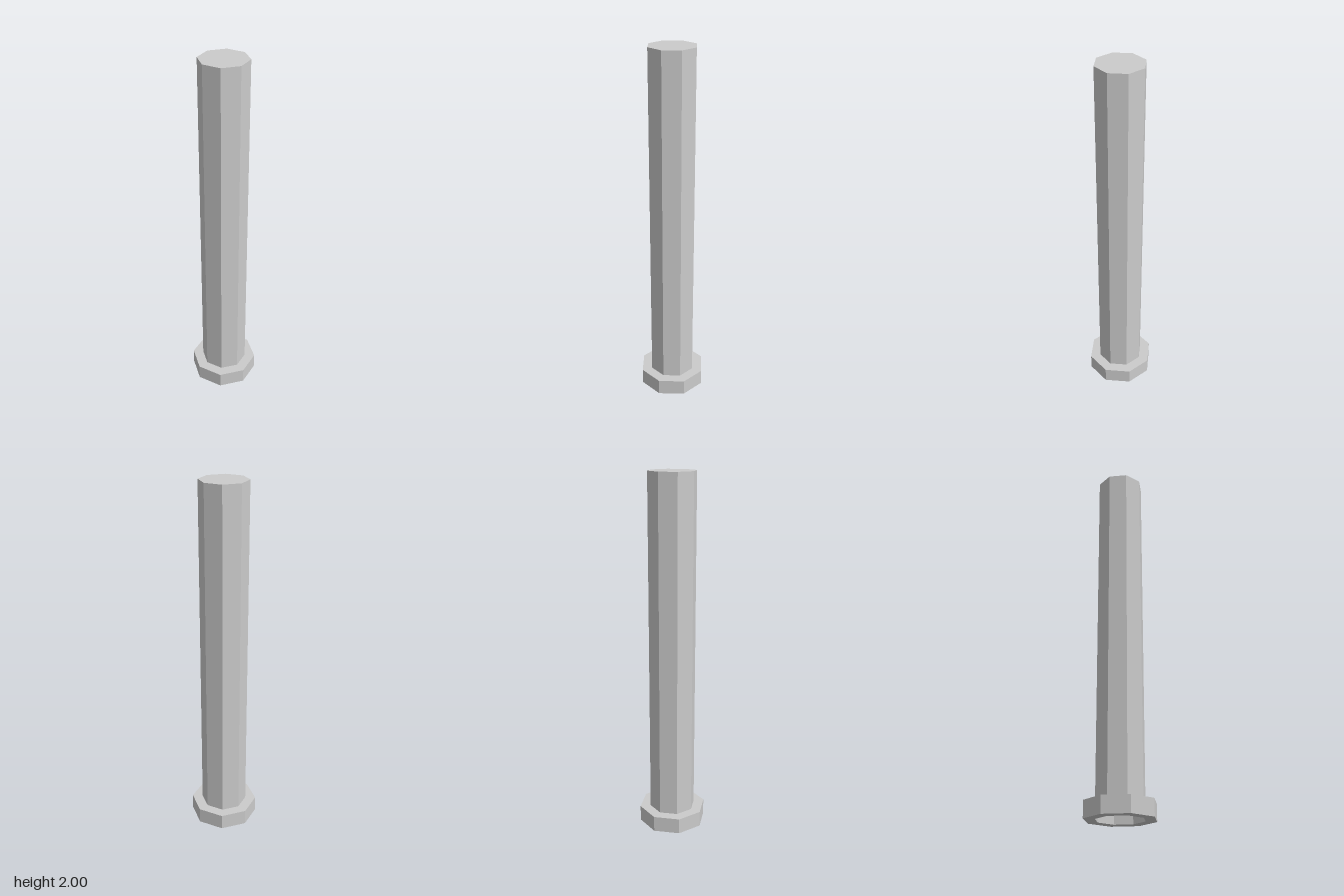
import * as THREE from 'three';

const SIDES = 8;

// Faceted solid of revolution; the profile runs up the outside and down the inside
function facetedPart(name, profile, material) {
  const points = profile.map(([r, y]) => new THREE.Vector2(r, y));
  const mesh = new THREE.Mesh(new THREE.LatheGeometry(points, SIDES), material);
  mesh.name = name;
  return mesh;
}

export function createModel() {
  const group = new THREE.Group();
  group.name = 'post';
  const grey = new THREE.MeshStandardMaterial({ color: 0xcccccc, flatShading: true });

  // Collar around the foot of the shaft, open underneath
  group.add(facetedPart('baseCollar', [
    [0.13, 0], [0.19, 0], [0.19, 0.09], [0.13, 0.09], [0.13, 0],
  ], grey));

  // Shaft with closed top and a bore from below, recessed into the collar
  group.add(facetedPart('shaft', [
    [0.09, 0.06], [0.13, 0.06], [0.13, 2], [0, 2],
  ], grey));
  group.add(facetedPart('shaftBore', [
    [0, 1.95], [0.09, 1.95], [0.09, 0.06],
  ], grey));

  return group;
}
